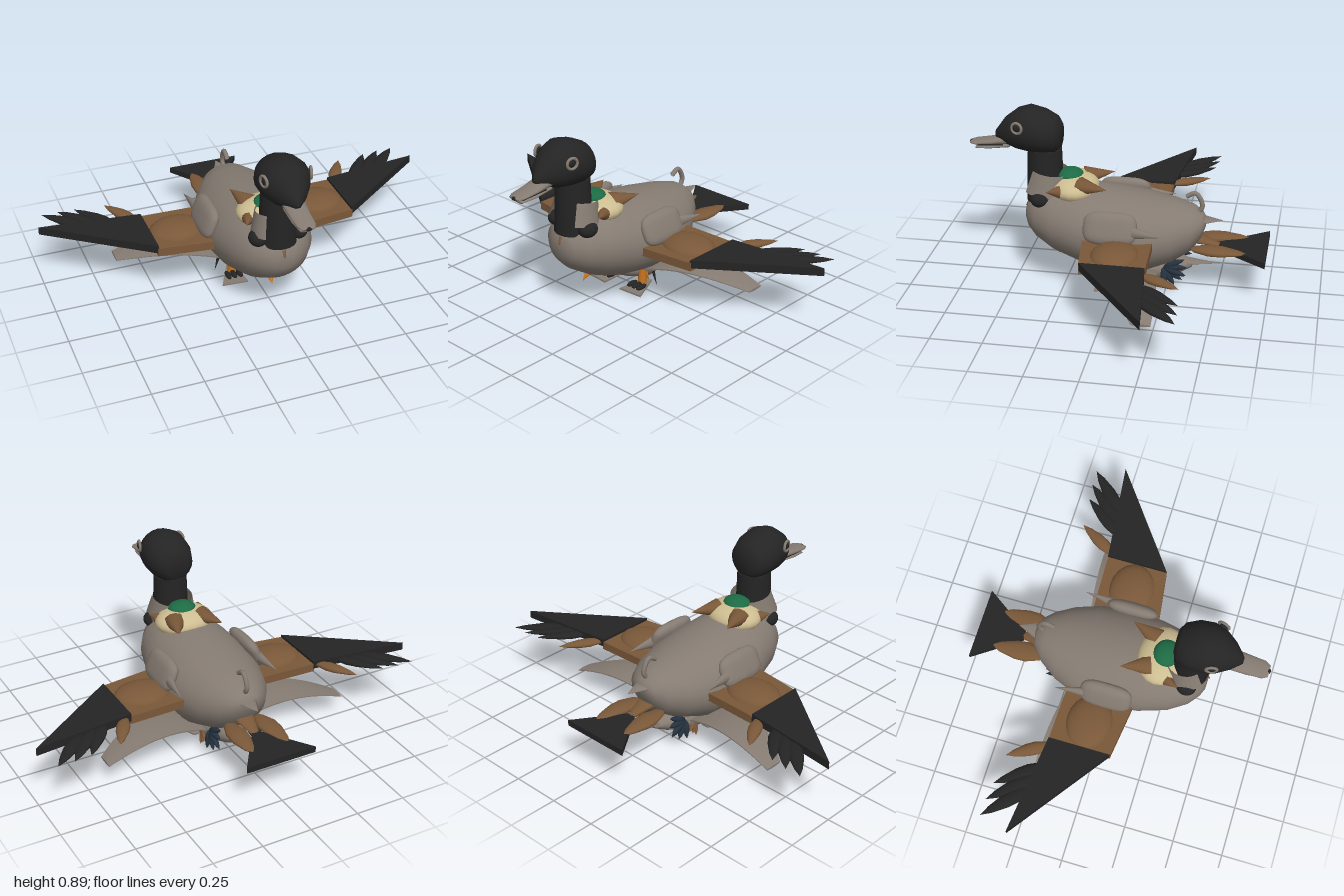
import * as THREE from 'three';

const mat = (name, color) => {
  const m = new THREE.MeshStandardMaterial({ color, side: THREE.DoubleSide });
  m.name = name;
  return m;
};

export function createModel() {
  const grey = mat('warm grey', 0x857b72), black = mat('black', 0x242424), brown = mat('brown', 0x7a5839);
  const cream = mat('cream', 0xcdbd91), green = mat('green', 0x1e6b45), orange = mat('orange', 0xc9741c);
  const blue = mat('slate blue', 0x25323f);
  const root = new THREE.Group();
  root.name = 'duck';

  const add = (name, geo, m, x = 0, y = 0, z = 0) => {
    const mesh = new THREE.Mesh(geo, m);
    mesh.name = name;
    mesh.position.set(x, y, z);
    root.add(mesh);
    return mesh;
  };

  // Skin over elliptical sections [z, top, bottom, half width], front to back
  const loft = (name, sections, m, n = 24) => {
    const first = sections[0], last = sections[sections.length - 1];
    const cap = (s) => [s[0], (s[1] + s[2]) / 2 + 0.001, (s[1] + s[2]) / 2 - 0.001, 0.001];
    const rings = [cap(first), ...sections, cap(last)];
    const pos = [], idx = [];
    rings.forEach(([z, top, bottom, rx], i) => {
      for (let j = 0; j < n; j++) {
        const a = (j / n) * Math.PI * 2;
        pos.push(Math.cos(a) * rx, (top + bottom) / 2 + Math.sin(a) * (top - bottom) / 2, z);
        if (i === rings.length - 1) continue;
        const k = (j + 1) % n, p = i * n, q = p + n;
        idx.push(p + j, q + j, q + k, p + j, q + k, p + k);
      }
    });
    const g = new THREE.BufferGeometry();
    g.setAttribute('position', new THREE.Float32BufferAttribute(pos, 3));
    g.setIndex(idx);
    g.computeVertexNormals();
    return add(name, g, m);
  };

  const ball = (name, m, c, r) => add(name, new THREE.SphereGeometry(1, 20, 14), m, ...c).scale.set(...r);

  // Pointed feather or cone from base to tip; belly = true gives a leaf profile
  const spike = (name, m, from, to, w, h = w, belly = false) => {
    const a = new THREE.Vector3(...from), b = new THREE.Vector3(...to), len = a.distanceTo(b);
    const profile = belly
      ? [[0, -0.5], [0.55, -0.4], [0.95, -0.15], [0.9, 0.05], [0.5, 0.32], [0, 0.5]]
      : [[0, -0.5], [1, -0.5], [0, 0.5]];
    const g = new THREE.LatheGeometry(profile.map((p) => new THREE.Vector2(...p)), 12);
    g.rotateX(Math.PI / 2).scale(w, h, len);
    const mid = a.clone().add(b).multiplyScalar(0.5);
    add(name, g, m, mid.x, mid.y, mid.z).lookAt(b);
  };

  // Horizontal plate from [x, z] corners
  const plate = (name, m, pts, y, thickness) => {
    const shape = new THREE.Shape(pts.map(([x, z]) => new THREE.Vector2(x, -z)));
    const g = new THREE.ExtrudeGeometry(shape, { depth: thickness, bevelEnabled: false });
    return add(name, g.rotateX(-Math.PI / 2), m, 0, y, 0);
  };

  // Body and underside
  loft('body', [[0.452, 0.38, 0.30, 0.05], [0.435, 0.42, 0.26, 0.09], [0.39, 0.46, 0.215, 0.145],
    [0.3, 0.5, 0.16, 0.2], [0.16, 0.5, 0.11, 0.237], [0, 0.487, 0.085, 0.25], [-0.15, 0.466, 0.09, 0.24],
    [-0.28, 0.443, 0.14, 0.19], [-0.37, 0.42, 0.2, 0.13], [-0.415, 0.39, 0.27, 0.08], [-0.432, 0.365, 0.32, 0.035]], grey, 32);
  loft('underBelly', [[0.08, 0.12, 0.07, 0.04], [0.02, 0.15, 0.04, 0.09], [-0.08, 0.17, 0.008, 0.12],
    [-0.2, 0.17, 0.025, 0.11], [-0.3, 0.16, 0.06, 0.07], [-0.37, 0.13, 0.1, 0.03]], grey);

  // Neck, collar and head
  add('neck', new THREE.CylinderGeometry(0.083, 0.092, 0.27, 20), black, 0, 0.545, 0.36);
  add('collar', new THREE.CylinderGeometry(0.1, 0.125, 0.11, 20, 1, true, 0.8, Math.PI * 2 - 1.6), grey, 0, 0.515, 0.345)
    .rotation.x = -0.15;
  loft('head', [[0.6, 0.755, 0.715, 0.015], [0.55, 0.825, 0.69, 0.065], [0.49, 0.872, 0.67, 0.105],
    [0.43, 0.89, 0.66, 0.122], [0.36, 0.873, 0.655, 0.12], [0.3, 0.843, 0.662, 0.095], [0.277, 0.81, 0.69, 0.06]], black, 20);
  loft('upperBill', [[0.727, 0.694, 0.682, 0.03], [0.7, 0.7, 0.68, 0.045], [0.62, 0.715, 0.685, 0.05],
    [0.54, 0.74, 0.69, 0.055]], grey, 14);
  loft('lowerBill', [[0.7, 0.672, 0.658, 0.03], [0.63, 0.682, 0.662, 0.042], [0.53, 0.7, 0.675, 0.045]], grey, 14);
  ball('billTip', black, [0, 0.687, 0.724], [0.014, 0.009, 0.01]);
  loft('mouth', [[0.69, 0.685, 0.667, 0.025], [0.56, 0.7, 0.675, 0.04]], black, 12);

  // Mantle and chest trim
  ball('mantle', cream, [0, 0.49, 0.215], [0.15, 0.068, 0.12]);
  ball('mantleCap', green, [0, 0.545, 0.235], [0.07, 0.034, 0.065]);
  spike('chestSpike', brown, [0, 0.39, 0.435], [0, 0.362, 0.463], 0.016);
  spike('bellySpike', orange, [0, 0.145, 0.27], [0, 0.115, 0.305], 0.015);

  // Tail fan, tail cones and curled feather
  plate('tailFan', black, [[-0.02, -0.5], [0.02, -0.5], [0.183, -0.735], [-0.183, -0.735]], 0.203, 0.03);
  spike('tailRoot', brown, [0, 0.27, -0.34], [0, 0.21, -0.56], 0.07, 0.03);
  spike('upperTailCone', grey, [0, 0.352, -0.37], [0, 0.357, -0.52], 0.07, 0.02);
  spike('lowerTailCone', grey, [0, 0.125, -0.3], [0, 0.124, -0.51], 0.05, 0.014);
  const curl = [[0.47, -0.335], [0.49, -0.375], [0.475, -0.395], [0.425, -0.413], [0.4, -0.4], [0.38, -0.37]];
  add('curledFeather', new THREE.TubeGeometry(
    new THREE.CatmullRomCurve3(curl.map(([y, z]) => new THREE.Vector3(0, y, z))), 20, 0.012, 8), grey);

  for (const s of [1, -1]) {
    // Eyes
    const ring = add('eyeRing', new THREE.TorusGeometry(0.026, 0.007, 8, 20), grey, s * 0.113, 0.81, 0.47);
    ring.rotation.y = s * 1.3;
    ball('eye', black, [s * 0.107, 0.81, 0.47], [0.015, 0.02, 0.02]);

    // Neck base patches and mantle feathers
    ball('chestPatch', black, [s * 0.1, 0.445, 0.365], [0.045, 0.04, 0.05]);
    spike('mantleCone', brown, [s * 0.07, 0.515, 0.175], [s * 0.12, 0.525, 0.035], 0.055, 0.045);
    spike('mantleSideCone', brown, [s * 0.11, 0.495, 0.27], [s * 0.14, 0.5, 0.33], 0.032);

    // Shoulder patch
    const patch = new THREE.SphereGeometry(1, 20, 14);
    const p = patch.attributes.position;
    for (let i = 0; i < p.count; i++) {
      const f = (v) => Math.sign(v) * Math.pow(Math.abs(v), 0.6);
      p.setXYZ(i, p.getX(i) * 0.035, f(p.getY(i)) * 0.08, f(p.getZ(i)) * 0.13);
    }
    patch.computeVertexNormals();
    add('shoulder', patch, grey, s * 0.235, 0.38, 0).rotation.z = s * 0.4;
    spike('shoulderTip', grey, [s * 0.245, 0.37, -0.11], [s * 0.262, 0.365, -0.255], 0.022, 0.03);

    // Main wing: inner panel, covert hump, outer blade and feathers
    plate('innerWing', brown, [[s * 0.2, 0.14], [s * 0.505, 0.1], [s * 0.505, -0.21], [s * 0.2, -0.2]], 0.268, 0.042);
    ball('wingCovert', brown, [s * 0.365, 0.3, -0.045], [0.14, 0.05, 0.115]);
    plate('outerWing', black, [[s * 0.5, 0.1], [s * 1, -0.265], [s * 0.5, -0.21]], 0.283, 0.04);
    spike('wingFeather', black, [s * 0.74, 0.3, -0.2], [s * 0.955, 0.3, -0.41], 0.037, 0.018, true);
    spike('wingFeather', black, [s * 0.67, 0.3, -0.18], [s * 0.875, 0.3, -0.41], 0.037, 0.018, true);
    spike('wingFeather', black, [s * 0.62, 0.3, -0.17], [s * 0.79, 0.3, -0.4], 0.035, 0.018, true);
    spike('brownWingFeather', brown, [s * 0.52, 0.3, -0.18], [s * 0.64, 0.3, -0.385], 0.035, 0.02, true);
    spike('wingStrut', black, [s * 0.275, 0.27, -0.03], [s * 0.298, 0.2, -0.03], 0.008);

    // Lower curved paddle, swept back towards its tip
    const paddle = new THREE.BoxGeometry(1, 1, 1, 14, 1, 4);
    const q = paddle.attributes.position;
    for (let i = 0; i < q.count; i++) {
      const u = 0.5 + s * q.getX(i), v = q.getZ(i) + 0.5;
      const front = 0.03 - 0.2 * u * u, back = -0.2 - 0.06 * Math.sin(u * Math.PI / 2);
      const y = 0.09 + 0.16 * u - 0.145 * u * u + 0.03 * Math.sin(u * Math.PI);
      const thick = 0.026 * (1 - 0.5 * u) * (0.3 + 0.7 * Math.sin(v * Math.PI));
      q.setXYZ(i, s * (0.06 + 0.585 * u), y + q.getY(i) * thick, back + (front - back) * v);
    }
    paddle.computeVertexNormals();
    add('lowerPaddle', paddle, grey);

    // Tail side feathers
    spike('tailSideFeather', brown, [s * 0.075, 0.23, -0.36], [s * 0.095, 0.23, -0.65], 0.055, 0.022, true);

    // Legs and feet
    add('leg', new THREE.CylinderGeometry(0.018, 0.022, 0.08, 10), orange, s * 0.095, 0.055, -0.015);
    spike('legFeather', orange, [s * 0.1, 0.07, -0.03], [s * 0.105, 0.025, -0.055], 0.014);
    const foot = plate('foot', grey, [[s * 0.06, -0.08], [s * 0.1, -0.08], [s * 0.18, 0.09], [s * 0.05, 0.1]], 0.004, 0.008);
    foot.rotation.x = -0.03;
    for (let i = 0; i < 3; i++) ball('toe', black, [s * (0.07 + i * 0.03), 0.022, 0.03], [0.014, 0.012, 0.035]);
    spike('legSpur', black, [s * 0.165, 0.1, -0.02], [s * 0.18, 0.025, -0.03], 0.008);

    // Rear plumes
    for (let i = 0; i < 6; i++) {
      const a = -0.55 + i * 0.42;
      spike('bluePlume', blue, [s * 0.1, 0.13, -0.24],
        [s * (0.1 + 0.012 * (i % 3)), 0.13 - Math.sin(a) * 0.095, -0.25 - Math.cos(a) * 0.11], 0.018, 0.018, true);
    }
    for (let i = 0; i < 3; i++) {
      spike('brownPlume', brown, [s * 0.1, 0.085, -0.165],
        [s * 0.125, 0.025 + i * 0.02, -0.19 - i * 0.024], 0.012, 0.012, true);
    }
  }
  return root;
}
